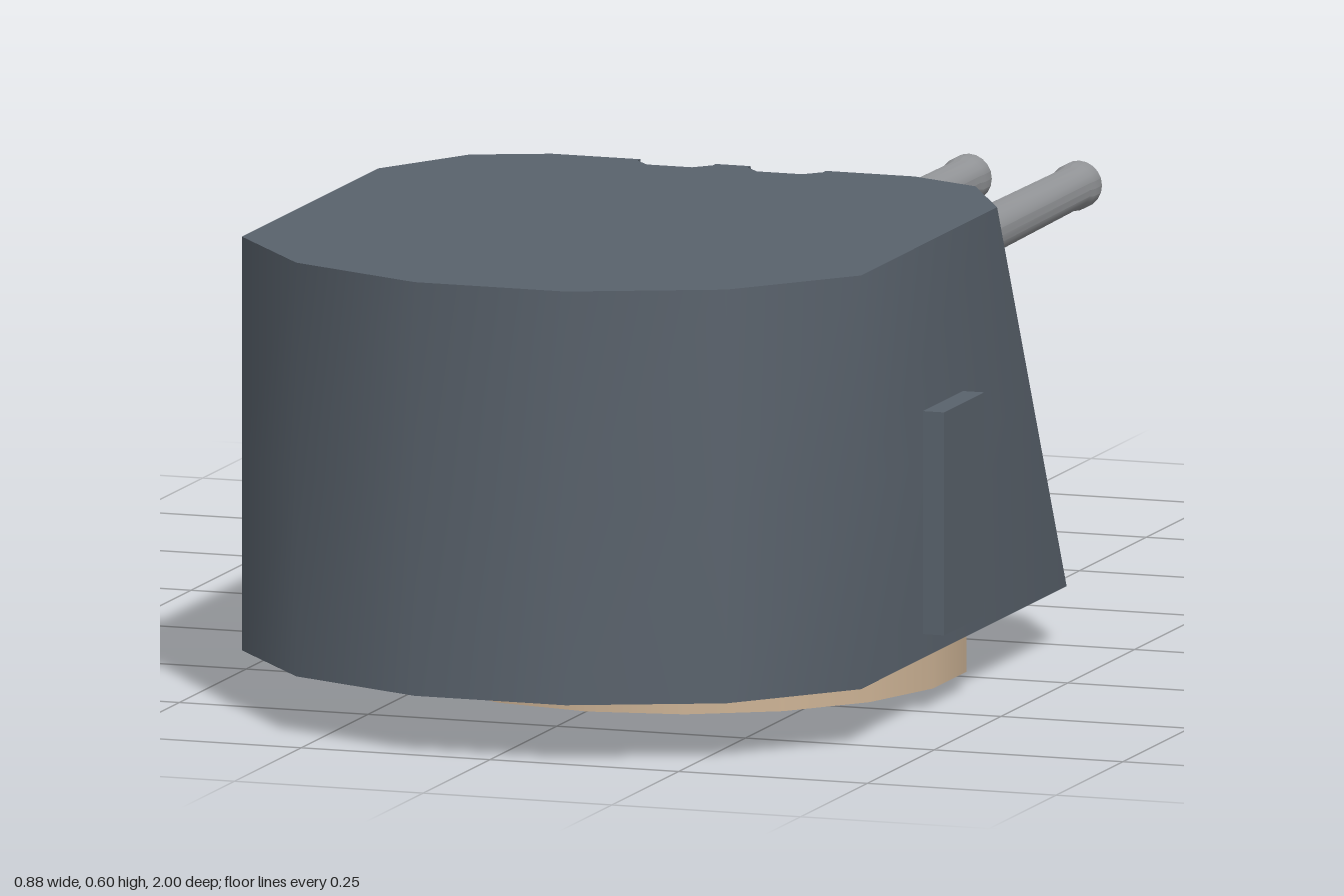
import * as THREE from 'three';
import { toCreasedNormals } from 'three/addons/utils/BufferGeometryUtils.js';

const material = (name, color, extra = {}) => {
  const m = new THREE.MeshStandardMaterial({ color, ...extra });
  m.name = name;
  return m;
};

const BASE = 0.075, ROOF = 0.6, SLOT_FLOOR = 0.33, GUN_X = 0.073, GUN_Y = 0.395;
const SLOPE = Math.atan2(0.27, ROOF - BASE);
const frontZ = (y) => -0.18 + 0.27 * (y - BASE) / (ROOF - BASE);

// Plan outline at height y, running from the rear round one side and back
function outline(y, slotted) {
  const t = (y - BASE) / (ROOF - BASE);
  const f = frontZ(y);
  const back = (z) => (slotted ? z : f);
  const half = [
    [0.1, 1], [0.285, 0.92], [0.41, 0.77],
    [0.41, 0.26 * t], [0.335, -0.12 + 0.25 * t], [0.24, f],
    [GUN_X + 0.05, f], [GUN_X + 0.05, back(0.1)], [GUN_X + 0.03, back(0.122)],
    [GUN_X - 0.03, back(0.122)], [GUN_X - 0.05, back(0.1)], [GUN_X - 0.05, f],
  ];
  const mirrored = half.map(([x, z]) => [-x, z]).reverse();
  return [...half, ...mirrored].map(([x, z]) => new THREE.Vector3(x, y, z));
}

// Armoured house: stacked outlines, with gun slots cut in the sloping face
function houseGeometry() {
  const rings = [
    outline(BASE, false), outline(SLOT_FLOOR, false),
    outline(SLOT_FLOOR, true), outline(ROOF, true),
  ];
  const positions = [];
  const tri = (a, b, c) => {
    if (new THREE.Triangle(a, b, c).getArea() < 1e-7) return;
    for (const v of [a, b, c]) positions.push(v.x, v.y, v.z);
  };
  for (let r = 0; r < rings.length - 1; r++) {
    const low = rings[r], up = rings[r + 1];
    low.forEach((a, i) => {
      const j = (i + 1) % low.length;
      tri(a, low[j], up[j]);
      tri(a, up[j], up[i]);
    });
  }
  const floor = rings[0], roof = rings[3];
  for (let i = 1; i < floor.length - 1; i++) tri(floor[0], floor[i + 1], floor[i]);
  const flat = roof.map((v) => new THREE.Vector2(v.x, -v.z));
  for (const [a, b, c] of THREE.ShapeUtils.triangulateShape(flat, [])) tri(roof[a], roof[b], roof[c]);
  const g = new THREE.BufferGeometry();
  g.setAttribute('position', new THREE.Float32BufferAttribute(positions, 3));
  return toCreasedNormals(g, 0.75);
}

// Turned shape along the barrel; each point is [radius, distance forward]
function turned(points) {
  const g = new THREE.LatheGeometry(points.map(([r, d]) => new THREE.Vector2(r, d)), 20);
  g.rotateX(-Math.PI / 2);
  return toCreasedNormals(g, 0.6);
}

// Rectangular frame around a sighting port
function portFrame() {
  const rect = (path, w, h) => path.moveTo(-w, -h).lineTo(w, -h).lineTo(w, h).lineTo(-w, h).closePath();
  const shape = rect(new THREE.Shape(), 0.053, 0.055);
  shape.holes.push(rect(new THREE.Path(), 0.038, 0.034));
  return new THREE.ExtrudeGeometry(shape, { depth: 0.03, bevelEnabled: false });
}

export function createModel() {
  const armour = material('armour grey', 0x59626c);
  const steel = material('barrel steel', 0x929497);
  const tan = material('tan ring', 0xcdb395, { side: THREE.DoubleSide });

  const model = new THREE.Group();
  model.name = 'gunTurret';
  const add = (name, geometry, mat, x = 0, y = 0, z = 0, parent = model) => {
    const mesh = new THREE.Mesh(geometry, mat);
    mesh.name = name;
    mesh.position.set(x, y, z);
    parent.add(mesh);
    return mesh;
  };

  add('house', houseGeometry(), armour);
  add('baseRing', new THREE.CylinderGeometry(0.36, 0.36, BASE, 18, 1, true), tan, 0, BASE / 2, 0.28);

  const barrel = turned([
    [0, -0.04], [0.041, -0.04], [0.041, 0.44], [0.043, 0.445], [0.043, 0.455], [0.031, 0.46],
    [0.027, 0.965], [0.03, 0.975], [0.03, 1],
  ]);
  const muzzle = turned([[0.03, 1], [0.019, 1]]);
  const bore = turned([[0.019, 1], [0.019, 0.94], [0, 0.94]]);
  const mantlet = new THREE.CylinderGeometry(0.09, 0.09, 0.084, 24);
  mantlet.rotateZ(Math.PI / 2);
  const frame = portFrame();

  for (const side of [1, -1]) {
    const label = side > 0 ? 'left' : 'right';

    // Gun with its rounded mantlet inside the slot
    const gun = new THREE.Group();
    gun.name = label + 'Gun';
    gun.position.set(side * GUN_X, GUN_Y, 0);
    model.add(gun);
    add('barrel', barrel, steel, 0, 0, 0, gun);
    add('muzzleFace', muzzle, tan, 0, 0, 0, gun);
    add('bore', bore, steel, 0, 0, 0, gun);
    add('mantlet', mantlet, armour, 0, 0, 0.075, gun);

    // Side door
    add(label + 'Door', new THREE.BoxGeometry(0.05, 0.283, 0.15), armour, side * 0.413, 0.247, 0.463);

    // Sighting port lying on the sloping face
    const port = add(label + 'SightPort', frame, armour, side * 0.21, 0.46, frontZ(0.46) + 0.015);
    port.rotation.set(SLOPE, Math.PI, 0, 'XYZ');
  }
  return model;
}
